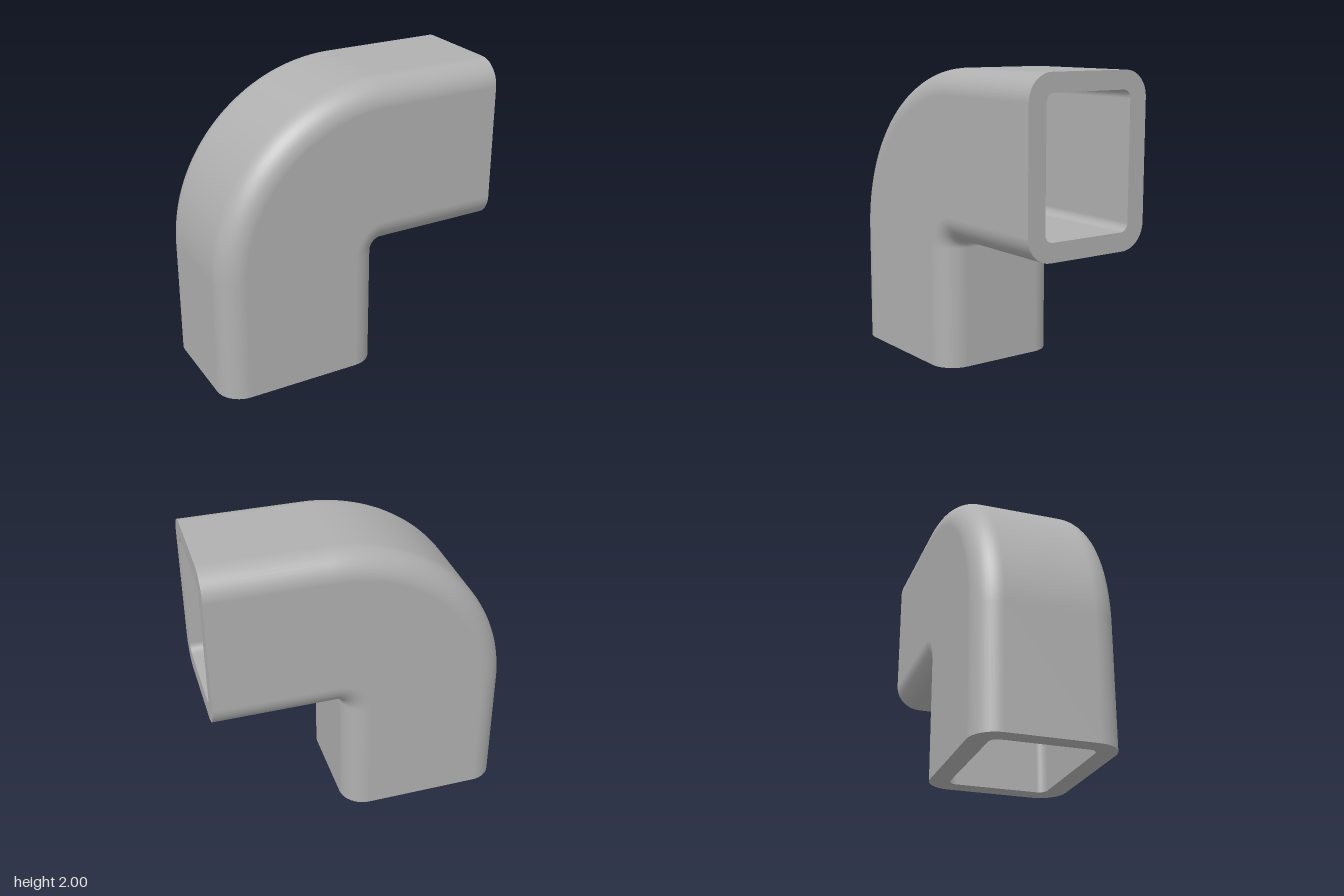
import * as THREE from 'three';

const CX = 0.18, CY = 0.82; // centre of the bend

// Rounded rectangle as points and normals; r = distance from the bend axis
function section(r0, r1, halfWidth, radius, steps = 10) {
  const points = [];
  const corners = [[r1 - radius, halfWidth - radius], [r0 + radius, halfWidth - radius],
    [r0 + radius, radius - halfWidth], [r1 - radius, radius - halfWidth]];
  corners.forEach(([r, z], k) => {
    for (let i = 0; i <= steps; i++) {
      const a = (k + i / steps) * Math.PI / 2;
      const c = Math.cos(a), s = Math.sin(a);
      points.push({ r: r + radius * c, z: z + radius * s, nr: c, nz: s });
    }
  });
  return points;
}

// Stations along the duct: up the leg, round the bend, out along the arm
function stations(steps = 40) {
  const list = [{ x: CX, y: 0, a: Math.PI }];
  for (let i = 0; i <= steps; i++) list.push({ x: CX, y: CY, a: Math.PI * (1 - i / steps / 2) });
  list.push({ x: 1, y: CY, a: Math.PI / 2 });
  return list;
}

// Place a section at a station; an optional fixed normal is used for flat rims
function place(profile, s, fixed) {
  const c = Math.cos(s.a), n = Math.sin(s.a);
  return profile.map((q) => ({
    p: [s.x + q.r * c, s.y + q.r * n, q.z],
    n: fixed || [q.nr * c, q.nr * n, q.nz],
  }));
}

// Join closed loops into a surface
function loft(rows, inward = false) {
  const pos = [], nor = [], idx = [], m = rows[0].length;
  rows.forEach((row) => row.forEach(({ p, n }) => {
    pos.push(...p);
    nor.push(...(inward ? n.map((v) => -v) : n));
  }));
  for (let i = 0; i < rows.length - 1; i++) {
    for (let j = 0; j < m; j++) {
      const k = (j + 1) % m;
      const a = i * m + j, b = i * m + k, c = a + m, d = b + m;
      if (inward) idx.push(a, c, b, b, c, d);
      else idx.push(a, b, c, b, d, c);
    }
  }
  const g = new THREE.BufferGeometry();
  g.setAttribute('position', new THREE.Float32BufferAttribute(pos, 3));
  g.setAttribute('normal', new THREE.Float32BufferAttribute(nor, 3));
  g.setIndex(idx);
  return g;
}

export function createModel() {
  const group = new THREE.Group();
  group.name = 'ductElbow';
  const grey = new THREE.MeshStandardMaterial({ color: 0xb0b0b0 });
  grey.name = 'grey';
  const add = (name, geometry) => {
    const mesh = new THREE.Mesh(geometry, grey);
    mesh.name = name;
    group.add(mesh);
  };

  const outer = section(0.055, 1.18, 0.457, 0.17);
  const inner = section(0.178, 1.06, 0.327, 0.055);
  const path = stations();
  const first = path[0], last = path[path.length - 1];

  // Walls
  add('outerShell', loft(path.map((s) => place(outer, s))));
  add('innerBore', loft(path.map((s) => place(inner, s)), true));

  // Flat rims round the two openings
  const right = [1, 0, 0], down = [0, -1, 0];
  add('armRim', loft([place(outer, last, right), place(inner, last, right)]));
  add('legRim', loft([place(inner, first, down), place(outer, first, down)]));
  return group;
}
